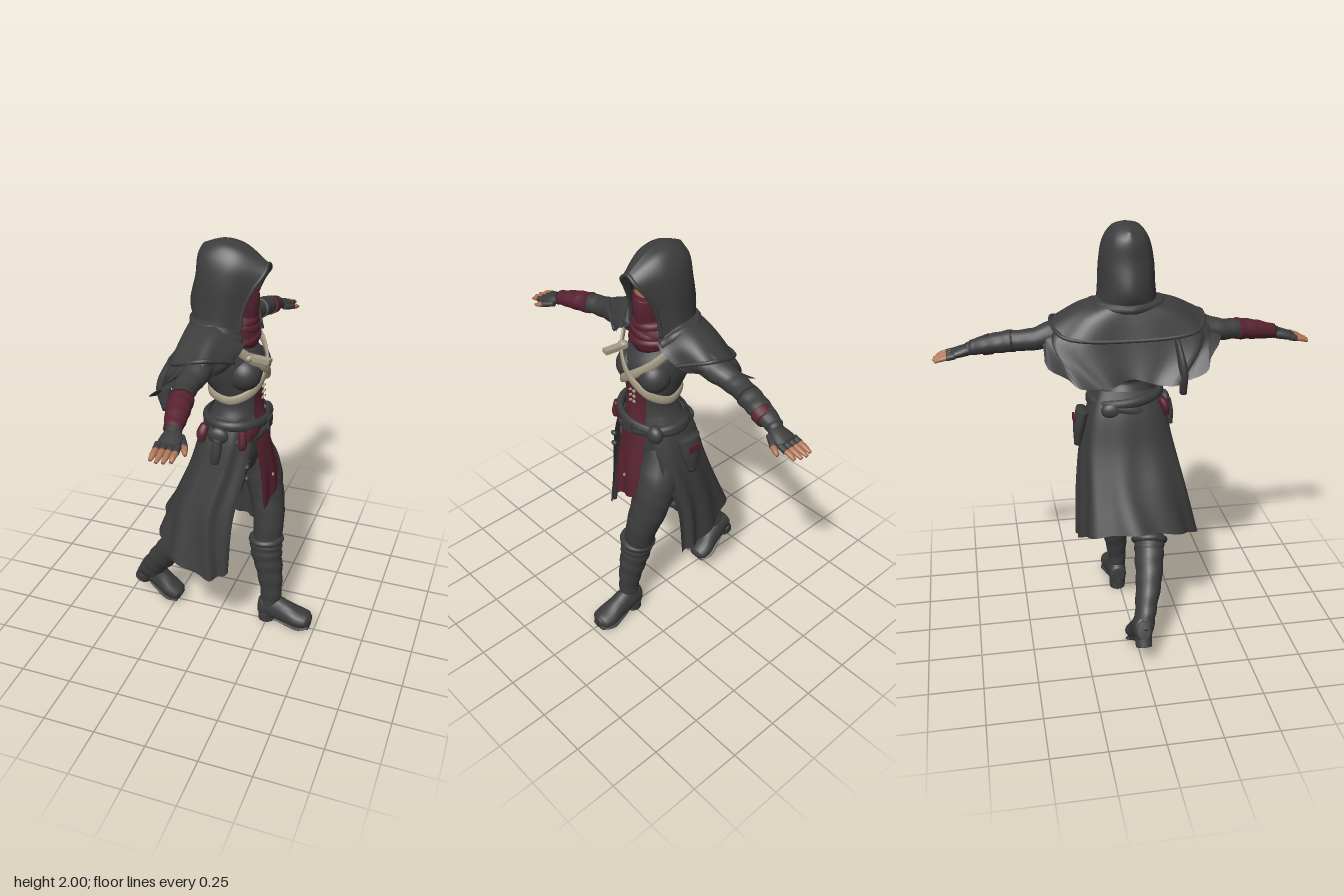
import * as THREE from 'three';

const mat = (name, color) => {
  const m = new THREE.MeshStandardMaterial({ color, side: THREE.DoubleSide });
  m.name = name;
  return m;
};
const V = (p) => new THREE.Vector3(p[0], p[1], p[2]);
const X = [1, 0, 0], Y = [0, 1, 0], Z = [0, 0, 1];

// Triangulate a grid of points; caps close each row and both ends
function grid(rows, caps) {
  const n = rows[0].length, pos = [], idx = [];
  rows.forEach((r) => r.forEach((p) => pos.push(p.x, p.y, p.z)));
  for (let i = 0; i < rows.length - 1; i++)
    for (let j = 0; j < (caps ? n : n - 1); j++) {
      const k = (j + 1) % n, a = i * n + j, b = i * n + k;
      idx.push(a, b, a + n, b, b + n, a + n);
    }
  if (caps) {
    [0, rows.length - 1].forEach((i, end) => {
      const c = rows[i].reduce((s, p) => s.add(p), new THREE.Vector3()).divideScalar(n);
      const ci = pos.length / 3;
      pos.push(c.x, c.y, c.z);
      for (let j = 0; j < n; j++) {
        const a = i * n + j, b = i * n + (j + 1) % n;
        if (end) idx.push(a, b, ci); else idx.push(b, a, ci);
      }
    });
  }
  const g = new THREE.BufferGeometry();
  g.setAttribute('position', new THREE.Float32BufferAttribute(pos, 3));
  g.setIndex(idx);
  g.computeVertexNormals();
  return g;
}

// Smooth tapered tube through sections [x, y, z, radius along hint, other radius]
function limb(secs, hint = X, wrinkle = 0, steps = 7, sides = 20) {
  const path = new THREE.CatmullRomCurve3(secs.map(V));
  const size = new THREE.CatmullRomCurve3(secs.map((s) => new THREE.Vector3(s[3], s[4], 0)), false, 'catmullrom', 0.4);
  const rows = [], N = (secs.length - 1) * steps;
  for (let i = 0; i <= N; i++) {
    const c = path.getPoint(i / N), t = path.getTangent(i / N), r = size.getPoint(i / N);
    const u = V(hint).addScaledVector(t, -V(hint).dot(t)).normalize();
    const v = t.clone().cross(u);
    rows.push(Array.from({ length: sides }, (_, j) => {
      const a = j / sides * Math.PI * 2, w = 1 + wrinkle * Math.sin(i * 1.4 + 1.5 * Math.sin(a));
      return c.clone().addScaledVector(u, r.x * w * Math.cos(a)).addScaledVector(v, r.y * w * Math.sin(a));
    }));
  }
  return grid(rows, true);
}

// Smooth cloth through rows of points, with optional folds growing toward the last row
function sheet(rows, fold = 0, waves = 10, nu = 56, nv = 24) {
  const curves = rows.map((r) => new THREE.CatmullRomCurve3(r.map(V)));
  const out = Array.from({ length: nv + 1 }, () => []);
  for (let j = 0; j <= nu; j++) {
    const col = new THREE.CatmullRomCurve3(curves.map((c) => c.getPoint(j / nu)));
    for (let i = 0; i <= nv; i++) {
      const p = col.getPoint(i / nv), w = 1 + fold * (i / nv) * Math.sin(j / nu * Math.PI * 2 * waves);
      out[i].push(p.set(p.x * w, p.y, p.z * w));
    }
  }
  return grid(out, false);
}
// Complete a half row, ending on the centre line, by mirroring it in z
const mirror = (half) => [...half, ...half.slice(0, -1).reverse().map(([x, y, z]) => [x, y, -z])];

export function createModel() {
  const root = new THREE.Group();
  const dark = mat('charcoal cloth', 0x3d3d3e), wine = mat('wine cloth', 0x582331);
  const canvas = mat('canvas strap', 0xa69c86), skin = mat('skin', 0xac7354), ink = mat('dark hair', 0x242121);
  const add = (name, geo, m, parent = root) => {
    const mesh = new THREE.Mesh(geo, m);
    mesh.name = name;
    parent.add(mesh);
    return mesh;
  };
  const ball = (name, m, p, s) => {
    const b = add(name, new THREE.SphereGeometry(1, 24, 16), m);
    b.position.set(...p); b.scale.set(...s);
    return b;
  };
  const box = (name, m, p, s) => {
    const b = add(name, new THREE.BoxGeometry(...s), m);
    b.position.set(...p);
    return b;
  };

  // Torso
  add('torso', limb([[.08, .92, 0, .09, .13], [.08, 1.02, 0, .12, .175], [.08, 1.15, 0, .13, .15], [.09, 1.26, 0, .105, .104],
    [.075, 1.34, 0, .12, .125], [.055, 1.43, 0, .148, .145], [.03, 1.54, 0, .11, .15], [.02, 1.63, 0, .08, .08]], X, 0, 7, 36), dark);
  for (const s of [1, -1]) ball('chest', dark, [.135, 1.42, .072 * s], [.078, .078, .074]);
  add('bodicePanel', sheet([[1.17, .19, .218], [1.26, .182, .2], [1.34, .186, .201], [1.42, .213, .21]]
    .map(([y, e, c]) => [[e, y, .066], [c, y, 0], [e, y, -.066]]), 0, 0, 12, 12), wine);
  for (let i = 0; i < 3; i++) for (const s of [1, -1])
    box('lace', canvas, [.205, 1.285 + .028 * i, .012 * s], [.008, .009, .014]).rotation.x = .5 * s;

  // Crossed chest straps
  for (const s of [1, -1])
    add('chestStrap', limb([[.12, 1.56, .14], [.175, 1.5, .095], [.214, 1.43, .01], [.188, 1.355, -.09], [.09, 1.305, -.13], [-.015, 1.315, -.09], [-.05, 1.335, 0]]
      .map(([x, y, z]) => [x + (s > 0 ? .005 : 0), y, z * s, .021, .008]), Y, 0, 7, 10), canvas);
  box('strapEnd', canvas, [.21, 1.515, .1], [.11, .02, .035]).rotation.y = -.15;
  ball('strapKnot', canvas, [.165, 1.515, .1], [.022, .02, .026]);

  // Head, mask and scarf
  ball('head', skin, [.06, 1.81, 0], [.1, .115, .082]);
  ball('hair', ink, [.055, 1.88, -.012], [.112, .062, .088]).rotation.x = -.25;
  for (const s of [1, -1]) {
    box('eye', ink, [.154, 1.82, .028 * s], [.008, .005, .018]);
    add('hairLock', limb([[.135, 1.885, .035 * s, .015, .02], [.135, 1.84, .06 * s, .015, .014], [.12, 1.79, .074 * s, .012, .012]]), ink);
  }
  add('mask', limb([[.07, 1.6, 0, .1, .085], [.07, 1.66, 0, .097, .066], [.07, 1.73, 0, .107, .072], [.065, 1.77, 0, .106, .083], [.065, 1.795, 0, .1, .085]]), wine);
  add('scarf', limb([[.06, 1.52, 0, .1, .075], [.06, 1.56, 0, .118, .11], [.06, 1.61, 0, .112, .118], [.06, 1.65, 0, .106, .1], [.06, 1.68, 0, .09, .075]]), wine);
  // Loose rolls of the scarf, each tilted differently
  [[1.575, .12], [1.615, -.16], [1.65, .1]].forEach(([y, tilt], i) => {
    const roll = add('scarfRoll', new THREE.TorusGeometry(1, .16, 10, 36), wine);
    roll.position.set(.06, y, 0); roll.rotation.x = Math.PI / 2 + tilt;
    roll.scale.set(.106 - .005 * i, .106 - .01 * i, .14);
  });

  // Hood, open at the face
  add('hood', sheet([
    [[.12, 1.62, .1], [.02, 1.63, .14], [-.09, 1.64, .09], [-.115, 1.64, 0]],
    [[.13, 1.72, .088], [.04, 1.72, .13], [-.09, 1.71, .09], [-.138, 1.71, 0]],
    [[.17, 1.82, .073], [.05, 1.83, .122], [-.07, 1.84, .09], [-.11, 1.84, 0]],
    [[.21, 1.88, .045], [.07, 1.92, .1], [-.06, 1.94, .07], [-.1, 1.93, 0]],
    [[.212, 1.905, .02], [.09, 1.972, .055], [0, 1.988, .045], [-.082, 1.967, 0]],
    [[.215, 1.912, 0], [.1, 1.983, 0], [0, 1.998, 0], [-.075, 1.974, 0]]].map(mirror)), dark);
  add('hoodRim', limb(mirror([[.12, 1.62, .1], [.13, 1.72, .088], [.17, 1.82, .073], [.208, 1.88, .045], [.212, 1.91, 0]])
    .map((p) => [...p, .009, .009]), X, 0, 6, 8), dark);

  // Shoulder cape in two layers, with a hanging tail
  add('cape', sheet([
    [[.12, 1.6, .1], [.03, 1.65, .12], [-.08, 1.65, .08], [-.1, 1.65, 0]],
    [[.13, 1.57, .15], [.03, 1.625, .24], [-.1, 1.585, .2], [-.12, 1.58, 0]],
    [[.12, 1.52, .2], [.03, 1.57, .34], [-.12, 1.5, .32], [-.15, 1.46, 0]],
    [[.09, 1.49, .23], [.01, 1.51, .395], [-.18, 1.41, .36], [-.22, 1.33, .24], [-.215, 1.315, .12], [-.18, 1.34, 0]]].map(mirror), .04, 9), dark);
  add('upperCape', sheet([
    [[.14, 1.6, .09], [.04, 1.67, .13], [-.09, 1.665, .08], [-.115, 1.66, 0]],
    [[.15, 1.575, .14], [.04, 1.645, .22], [-.1, 1.615, .2], [-.135, 1.59, 0]],
    [[.13, 1.53, .2], [.04, 1.582, .34], [-.12, 1.53, .3], [-.155, 1.51, 0]]].map(mirror), .03, 7), dark);
  // Rolled edges that gather the hood and the upper layer
  add('cowlRoll', limb(mirror([[.13, 1.59, .11], [.06, 1.64, .15], [-.06, 1.645, .13], [-.115, 1.64, 0]]).map((p) => [...p, .022, .022]), Y, .05, 7, 10), dark);
  add('capeEdge', limb(mirror([[.13, 1.53, .2], [.04, 1.582, .34], [-.12, 1.53, .3], [-.155, 1.51, 0]]).map((p) => [...p, .009, .009]), Y, 0, 7, 8), dark);
  add('capeTail', limb([[-.14, 1.5, .2, .03, .012], [-.19, 1.37, .22, .035, .02], [-.175, 1.26, .225, .022, .016]]), dark);

  // Arms, gloves and fingers
  for (const s of [1, -1]) {
    const g = new THREE.Group();
    g.name = s > 0 ? 'rightArm' : 'leftArm';
    root.add(g);
    const part = (name, secs, m, wr = 0) => add(name, limb(secs.map(([x, y, z, a, b]) => [x, y, z * s, a, b]), X, wr, 7, 16), m, g);
    part('sleeve', [[0, 1.55, .1, .07, .07], [.01, 1.53, .28, .066, .06], [-.005, 1.495, .42, .053, .05],
      [.015, 1.485, .53, .047, .045], [.04, 1.465, .64, .04, .037], [.055, 1.445, .72, .03, .027]], dark, .03);
    part('bracer', [[.012, 1.487, .51, .054, .05], [.03, 1.473, .6, .05, .045], [.05, 1.452, .7, .038, .034]], s > 0 ? wine : dark, .03);
    if (s < 0) part('wristBand', [[.037, 1.469, .61, .051, .047], [.045, 1.459, .65, .048, .043]], wine);
    part('glove', [[.052, 1.448, .69, .03, .026], [.06, 1.435, .74, .046, .025], [.062, 1.424, .785, .05, .02]], dark);
    for (let i = 0; i < 4; i++) {
      const x = .02 + .027 * i, e = .858 + .016 * Math.sin((i + .6) * .9);
      part('gloveFinger', [[x, 1.425, .775, .015, .014], [x + .003, 1.418, .81, .015, .014]], dark);
      part('finger', [[x + .002, 1.42, .8, .0135, .012], [x + .003, 1.413, .835, .013, .011], [x + .003, 1.402, e, .008, .007]], skin);
    }
    part('gloveThumb', [[.085, 1.43, .71, .02, .016], [.12, 1.417, .758, .016, .014]], dark);
    part('thumb', [[.117, 1.418, .75, .014, .013], [.128, 1.412, .775, .013, .012], [.138, 1.406, .795, .007, .007]], skin);
  }

  // Legs and boots
  const leg = (name, thigh, boot, foot, tilt, size) => {
    const g = new THREE.Group();
    g.name = name;
    root.add(g);
    add('trouserLeg', limb(thigh, X, .015), dark, g);
    add('bootShaft', limb(boot, X, .035), dark, g);
    const [c, d] = boot.slice(-2).reverse().map(V), dir = d.sub(c).normalize();
    const cuff = add('bootCuff', new THREE.TorusGeometry(.07, .018, 10, 28), dark, g);
    cuff.position.copy(c);
    cuff.quaternion.setFromUnitVectors(V(Z), dir);
    const f = new THREE.Group();
    f.name = 'foot';
    f.position.set(...foot); f.rotation.z = tilt; f.scale.setScalar(size);
    g.add(f);
    add('shoe', limb([[.004, .08, 0, .03, .045], [.02, .08, 0, .043, .06], [.07, .085, 0, .048, .072], [.14, .068, 0, .051, .06], [.21, .05, 0, .062, .046], [.258, .044, 0, .055, .038], [.28, .042, 0, .028, .022]], Z), dark, f);
    add('heel', limb([[.045, 0, 0, .042, .04], [.045, .05, 0, .042, .043]]), dark, f);
    add('sole', limb([[.09, .03, 0, .035, .008], [.15, .018, 0, .05, .01], [.22, .01, 0, .063, .01], [.275, .014, 0, .04, .01]], Z), dark, f);
  };
  leg('leftLeg', [[.08, 1.02, -.09, .1, .095], [.16, .86, -.11, .1, .1], [.2, .72, -.1, .085, .092], [.225, .58, -.07, .077, .076], [.225, .42, -.04, .065, .06]],
    [[.262, .08, -.01, .047, .042], [.266, .18, -.01, .054, .046], [.248, .32, -.022, .068, .062], [.228, .42, -.03, .079, .072], [.225, .48, -.037, .08, .074]], [.2, 0, -.012], 0, 1);
  leg('rightLeg', [[.08, 1.02, .09, .1, .1], [.04, .86, .12, .105, .1], [-.02, .72, .11, .09, .09], [-.09, .58, .095, .078, .075], [-.18, .45, .08, .065, .06]],
    [[-.395, .155, .01, .058, .047], [-.345, .235, .03, .062, .05], [-.26, .35, .06, .072, .062], [-.175, .45, .077, .08, .07], [-.14, .495, .084, .078, .073]], [-.48, .115, .005], -.43, .97);

  // Long coat skirt, open at the front
  add('coatSkirt', sheet([
    [[.19, 1.225, .08], [.12, 1.225, .14], [0, 1.225, .125], [-.035, 1.225, 0], [0, 1.225, -.125], [.1, 1.225, -.14], [.19, 1.225, -.08]],
    [[.19, 1.12, .125], [.11, 1.12, .18], [-.03, 1.12, .16], [-.075, 1.12, 0], [-.03, 1.12, -.16], [.1, 1.12, -.18], [.195, 1.12, -.12]],
    [[.18, .98, .17], [.08, .97, .215], [-.07, .96, .19], [-.12, .95, 0], [-.07, .95, -.185], [.08, .95, -.215], [.19, .96, -.18]],
    [[.14, .73, .235], [.02, .73, .275], [-.14, .76, .23], [-.19, .77, 0], [-.14, .76, -.19], [.02, .74, -.235], [.135, .74, -.225]],
    [[.13, .46, .27], [.05, .435, .32], [-.17, .53, .29], [-.275, .6, .05], [-.21, .57, -.2], [0, .47, -.245], [.11, .45, -.235]]], .04, 8, 80), dark);

  // Front cloth
  add('tabard', sheet([
    [[.185, 1.2, .075], [.225, 1.2, 0], [.185, 1.2, -.06]],
    [[.205, 1.06, .085], [.235, 1.06, 0], [.212, 1.06, -.08]],
    [[.23, .9, .09], [.255, .9, 0], [.255, .9, -.09]],
    [[.245, .735, .09], [.262, .765, 0], [.275, .8, -.09]]], .02, 2, 20, 16), wine);
  box('tabardStud', canvas, [.262, .885, .004], [.008, .012, .009]);
  add('hipSash', limb([[.205, 1.15, .06, .012, .04], [.195, 1.145, .1, .013, .04], [.175, 1.14, .14, .012, .035]]), wine);

  // Belts, pouches and buttons
  [[1.175, -.12], [1.14, .18]].forEach(([y, tilt]) => {
    const b = add('belt', new THREE.TorusGeometry(1, .11, 10, 48), dark);
    b.position.set(.08, y, 0); b.rotation.set(Math.PI / 2 + tilt, 0, 0); b.scale.set(.14, .168, .22);
  });
  box('buckle', dark, [.232, 1.16, 0], [.02, .05, .06]);
  ball('hipPouch', dark, [.05, 1.15, .185], [.05, .04, .025]);
  add('vial', limb([[.055, 1.14, .2, .022, .02], [.05, 1.08, .208, .025, .022], [.045, 1.02, .212, .018, .016]]), dark);
  add('winePouch', limb([[-.02, 1.18, .155, .02, .018], [-.03, 1.14, .175, .025, .02], [-.03, 1.1, .18, .014, .013]]), wine);
  add('wineVial', limb([[.16, 1.175, .16, .017, .017], [.162, 1.115, .17, .02, .02], [.162, 1.09, .17, .014, .014]]), wine);
  ball('frontPouch', dark, [.18, 1.15, -.12], [.035, .045, .045]);
  ball('backPouch', dark, [-.045, 1.14, -.08], [.03, .04, .05]);
  add('holster', limb([[.05, 1.12, -.205, .06, .03], [.05, 1.04, -.22, .052, .03], [.05, .94, -.23, .022, .018]]), dark);
  box('holsterPatch', wine, [.05, 1.075, -.246], [.065, .035, .008]);
  for (const y of [.94, 1]) ball('button', dark, [.185, y, .165], [.012, .012, .016]);
  return root;
}
